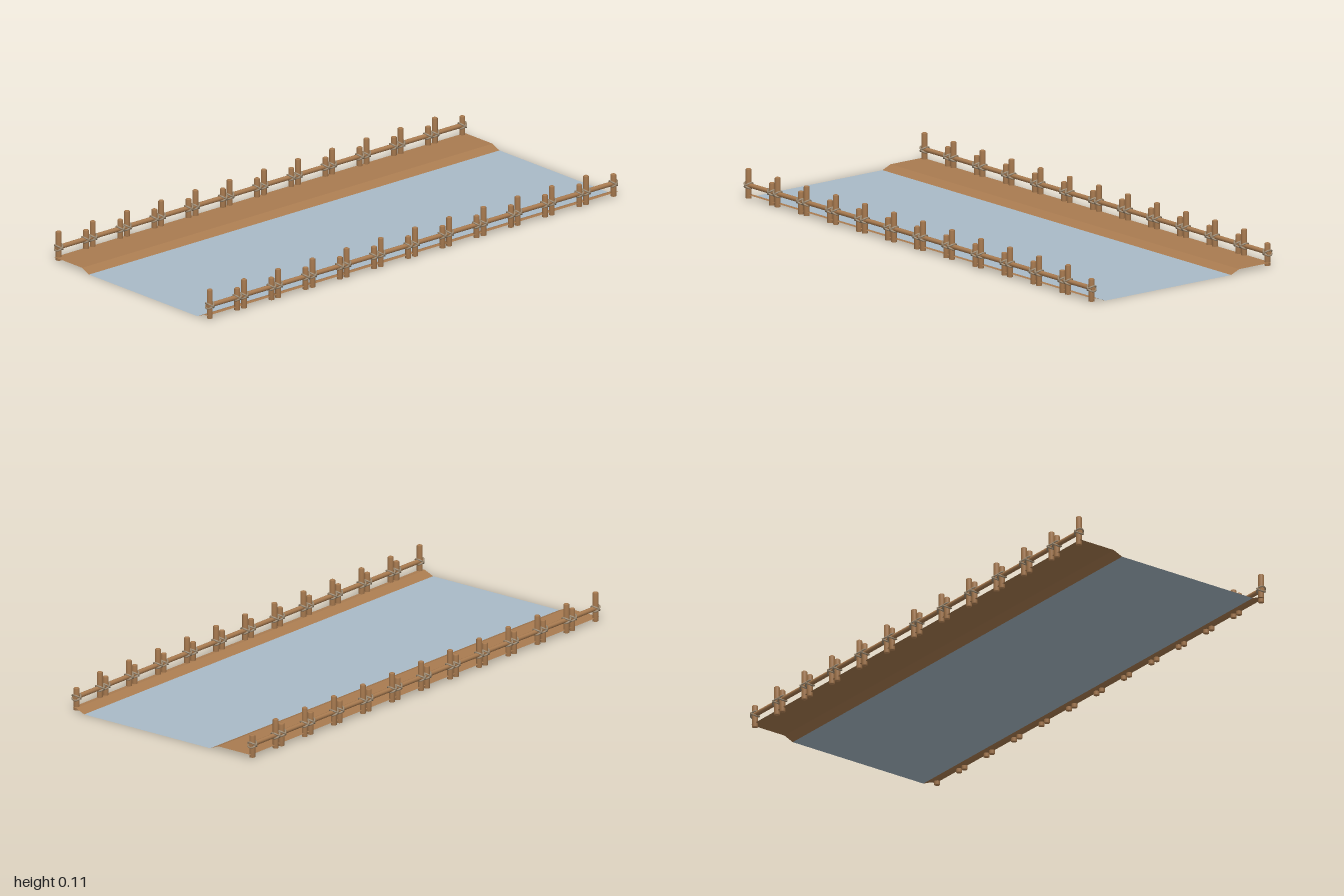
import * as THREE from 'three';

const wood = new THREE.MeshStandardMaterial({ name: 'wood', color: 0xa97b50 });
const rope = new THREE.MeshStandardMaterial({ name: 'rope', color: 0x9c8970 });
const bankWood = new THREE.MeshStandardMaterial({ name: 'bank', color: 0xa97b50, side: THREE.DoubleSide });
const surface = new THREE.MeshStandardMaterial({ name: 'paleBlue', color: 0xa9bac7, side: THREE.DoubleSide });

const SEGMENTS = 12;
const PITCH = 2 / SEGMENTS;
const RAIL_X = 0.415;
const RAIL_Y = 0.052;
const BANK_Y = 0.016;

// Flat strip running the full length between two edge points (x, y)
function strip(name, x0, y0, x1, y1, material) {
  const geo = new THREE.PlaneGeometry(Math.hypot(x1 - x0, y1 - y0), 2).rotateX(-Math.PI / 2);
  const mesh = new THREE.Mesh(geo, material);
  mesh.name = name;
  mesh.rotation.z = Math.atan2(y1 - y0, x1 - x0);
  mesh.position.set((x0 + x1) / 2, (y0 + y1) / 2, 0);
  return mesh;
}

const ringGeo = new THREE.TorusGeometry(0.0165, 0.0035, 6, 14).rotateX(Math.PI / 2);

// Round post with two crossed rope ties at rail height
function post(name, top, z) {
  const group = new THREE.Group();
  group.name = name;
  const bottom = 0.003;
  const height = top - bottom;
  const r = 0.011;
  const profile = [[0, 0], [r, 0], [r, height - 0.003], [r - 0.003, height], [0, height]];
  const pole = new THREE.Mesh(
    new THREE.LatheGeometry(profile.map(p => new THREE.Vector2(...p)), 12), wood);
  pole.name = 'pole';
  pole.position.y = bottom;
  group.add(pole);
  for (const tilt of [-1, 1]) {
    const ring = new THREE.Mesh(ringGeo, rope);
    ring.name = 'ropeTie';
    ring.position.y = RAIL_Y;
    ring.rotation.x = tilt * 0.65;
    group.add(ring);
  }
  group.position.z = z;
  return group;
}

// One fence line: a long rail with a tall and a short post per segment
function fence(name, x) {
  const group = new THREE.Group();
  group.name = name;
  const rail = new THREE.Mesh(new THREE.CylinderGeometry(0.009, 0.009, 1.99, 10).rotateX(Math.PI / 2), wood);
  rail.name = 'rail';
  rail.position.y = RAIL_Y;
  group.add(rail);
  for (let i = 0; i < SEGMENTS; i++) {
    const start = 1 - i * PITCH;
    group.add(post('tallPost', 0.114, start - 0.016));
    group.add(post('shortPost', 0.088, start - PITCH + 0.017));
  }
  group.position.x = x;
  return group;
}

export function createModel() {
  const model = new THREE.Group();
  model.name = 'fencedChannel';

  // Ground: pale channel between sloped banks
  model.add(strip('channel', -0.23, 0, 0.365, 0, surface));
  model.add(strip('wideBankSlope', -0.268, BANK_Y, -0.23, 0, bankWood));
  model.add(strip('wideBankTop', -0.42, BANK_Y, -0.268, BANK_Y, bankWood));
  model.add(strip('narrowBankSlope', 0.365, 0, 0.403, BANK_Y, bankWood));
  model.add(strip('narrowBankTop', 0.403, BANK_Y, 0.42, BANK_Y, bankWood));

  // Fences along both edges
  model.add(fence('rightFence', -RAIL_X));
  model.add(fence('leftFence', RAIL_X));
  return model;
}
